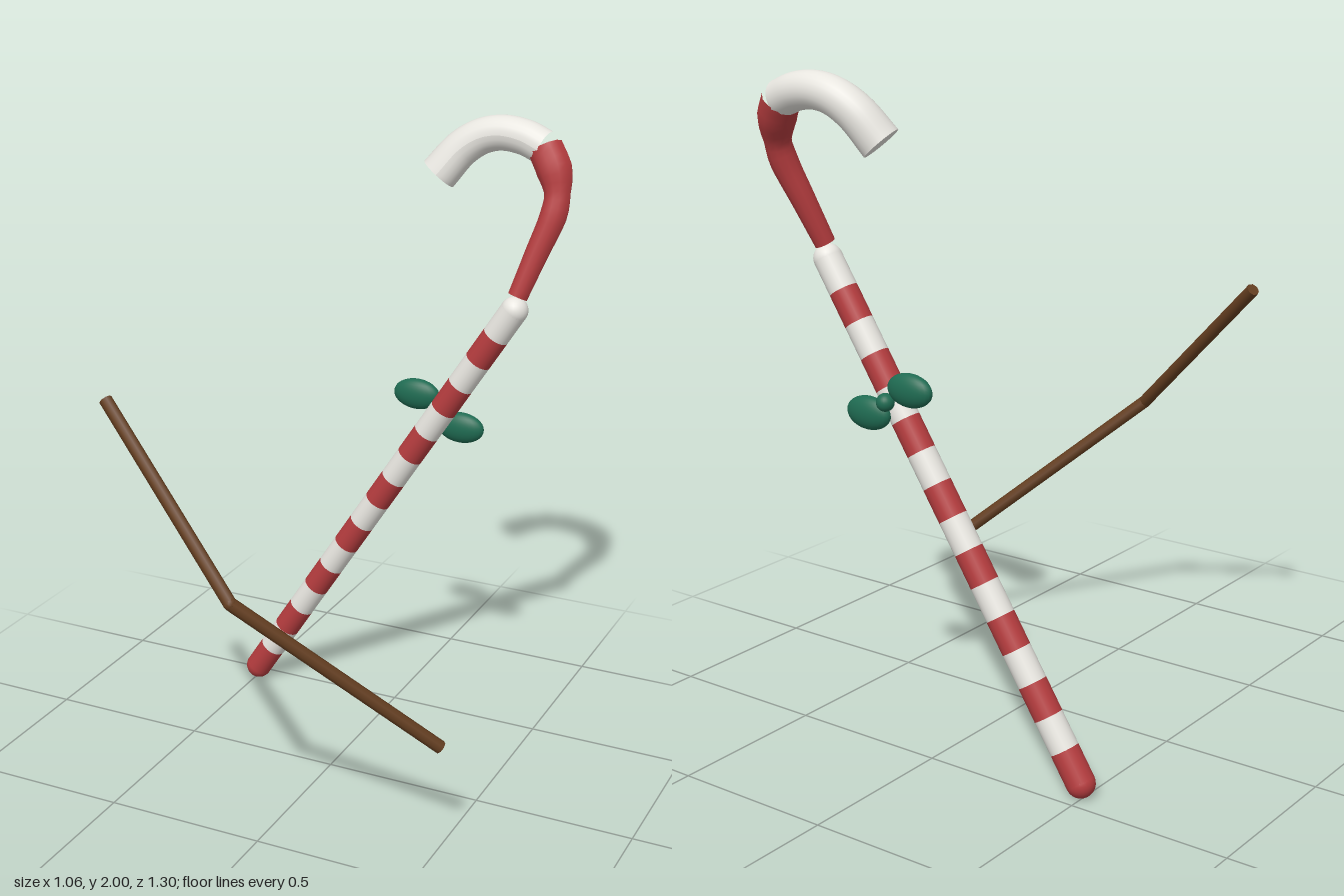
import * as THREE from 'three';

const V = (x, y, z) => new THREE.Vector3(x, y, z);
const mat = (name, color) => {
  const m = new THREE.MeshStandardMaterial({ color });
  m.name = name;
  return m;
};

// Cylinder running between two points
function rod(a, b, radius, sides, openEnded) {
  const d = b.clone().sub(a);
  const g = new THREE.CylinderGeometry(radius, radius, d.length(), sides, 1, openEnded);
  g.applyQuaternion(new THREE.Quaternion().setFromUnitVectors(V(0, 1, 0), d.normalize()));
  const c = a.clone().lerp(b, 0.5);
  return g.translate(c.x, c.y, c.z);
}

// Tube through [x, y, radius] stations lying in the leaning plane of the hook
const leanZ = (y) => -0.45 - 0.33 * (y - 1.5);
function hookTube(stations, sides, steps) {
  const curve = new THREE.CatmullRomCurve3(stations.map(([x, y]) => V(x, y, leanZ(y))));
  const g = new THREE.TubeGeometry(curve, steps, 1, sides, false);
  const p = g.attributes.position;
  const v = V(0, 0, 0);
  for (let i = 0; i <= steps; i++) {
    const centre = curve.getPointAt(i / steps);
    const s = curve.getUtoTmapping(i / steps) * (stations.length - 1);
    const k = Math.min(Math.floor(s), stations.length - 2);
    const r = THREE.MathUtils.lerp(stations[k][2], stations[k + 1][2], s - k);
    for (let j = 0; j <= sides; j++) {
      const n = i * (sides + 1) + j;
      v.fromBufferAttribute(p, n).sub(centre).multiplyScalar(r).add(centre);
      p.setXYZ(n, v.x, v.y, v.z);
    }
  }
  g.computeVertexNormals();
  return { g, curve };
}

export function createModel() {
  const group = new THREE.Group();
  const red = mat('candy red', 0xb43c3e);
  const white = mat('candy white', 0xe8e6e0);
  const green = mat('ribbon green', 0x1f6b52);
  const brown = mat('stick brown', 0x643e20);
  const add = (name, geometry, material) => {
    const m = new THREE.Mesh(geometry, material);
    m.name = name;
    group.add(m);
    return m;
  };

  // Striped shaft with round ends
  const foot = V(-0.491, 0.043, -0.443);
  const top = V(0.403, 1.442, -0.443);
  const count = 16;
  for (let i = 0; i < count; i++) {
    const a = foot.clone().lerp(top, i / count);
    const b = foot.clone().lerp(top, (i + 1) / count);
    add('shaftStripe' + (i + 1), rod(a, b, 0.043, 24, true), i % 2 ? white : red);
  }
  const ball = new THREE.SphereGeometry(0.043, 24, 16);
  add('shaftFoot', ball, red).position.copy(foot);
  add('shaftTop', ball, white).position.copy(top);

  // Uneven red neck of the hook
  const neck = hookTube([
    [0.411, 1.485, 0.031], [0.45, 1.61, 0.036], [0.487, 1.73, 0.042],
    [0.489, 1.785, 0.039], [0.47, 1.85, 0.056], [0.43, 1.913, 0.055],
  ], 12, 20);
  add('hookNeck', neck.g, red);

  // Smooth white curl
  const curl = hookTube([
    [0.43, 1.913, 0.054], [0.365, 1.937, 0.054], [0.29, 1.945, 0.054],
    [0.225, 1.93, 0.055], [0.165, 1.89, 0.057], [0.101, 1.81, 0.06],
  ], 24, 40);
  add('hookCurl', curl.g, white);

  // Flat discs closing the hook
  const disc = (name, point, dir, radius, material) => {
    const d = add(name, new THREE.CircleGeometry(radius, 24), material);
    d.position.copy(point);
    d.quaternion.setFromUnitVectors(V(0, 0, 1), dir);
  };
  disc('hookTip', curl.curve.getPointAt(1), curl.curve.getTangentAt(1), 0.06, white);
  disc('neckBase', neck.curve.getPointAt(0), neck.curve.getTangentAt(0).negate(), 0.031, red);

  // Bow: two loops and a knot behind the shaft
  const unit = new THREE.SphereGeometry(1, 24, 16);
  for (const [name, x, y] of [['bowLoopRight', 0.067, 1.11], ['bowLoopLeft', 0.22, 1.02]]) {
    const loop = add(name, unit, green);
    loop.position.set(x, y, -0.491);
    loop.scale.set(0.078, 0.05, 0.031);
  }
  const knot = add('bowKnot', unit, green);
  knot.position.set(0.148, 1.065, -0.503);
  knot.scale.setScalar(0.027);

  // Bent stick in front
  const elbow = V(-0.005, 0.833, 0.627);
  const ends = [V(-0.492, 1.303, 0.457), V(0.515, 0.362, 0.337)];
  ends.forEach((end, i) => add(i ? 'stickLower' : 'stickUpper', rod(elbow, end, 0.02, 8, false), brown));
  add('stickElbow', new THREE.SphereGeometry(0.02, 10, 8), brown).position.copy(elbow);

  return group;
}
